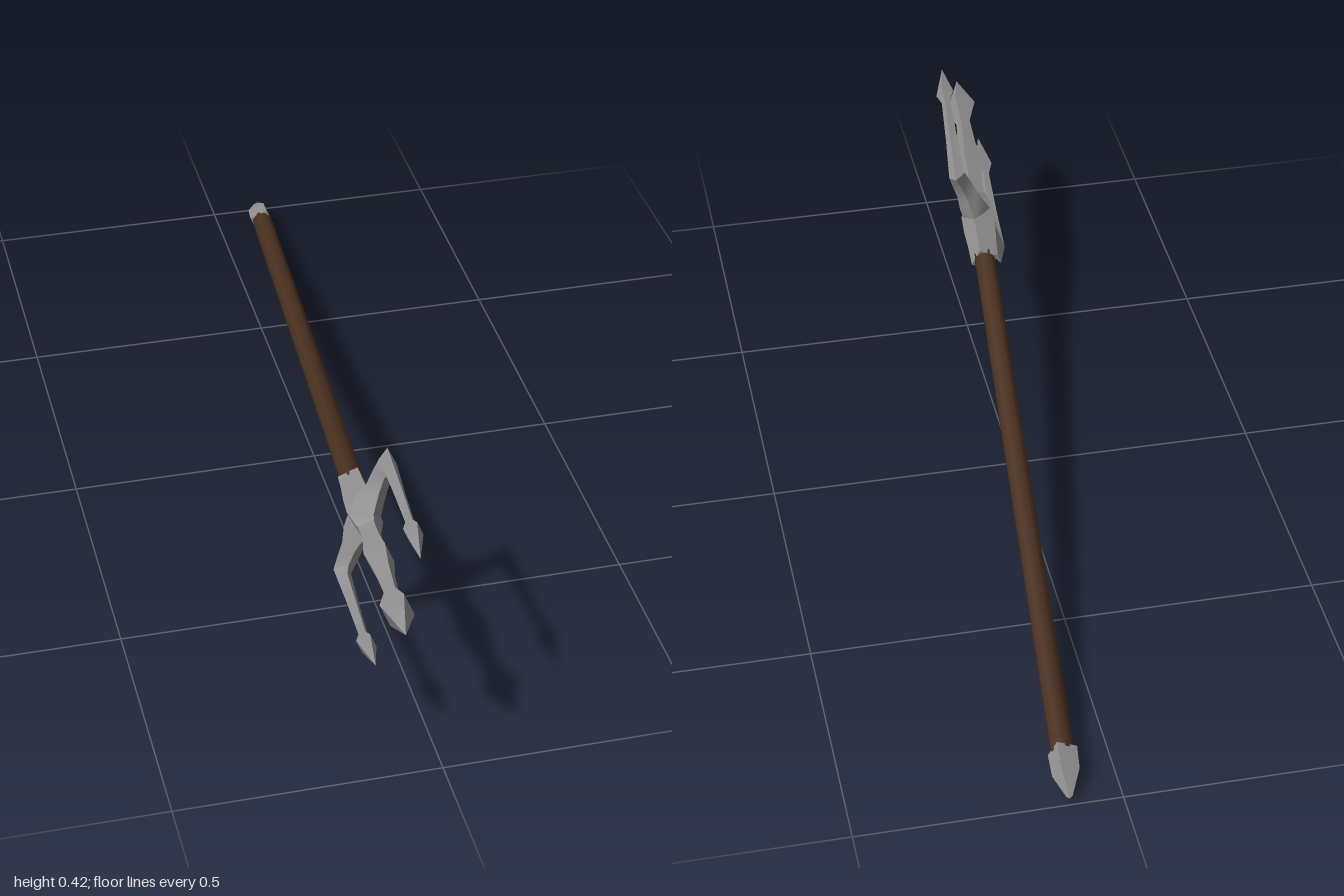
import * as THREE from 'three';
import { toCreasedNormals } from 'three/addons/utils/BufferGeometryUtils.js';

const CREASE = 0.8;

// Four-sided spindle along local z from [z, radius] pairs, corners on x and y
function spindle(points) {
  const geo = new THREE.LatheGeometry(points.map(([z, r]) => new THREE.Vector2(r, z)), 4);
  geo.rotateX(Math.PI / 2);
  return toCreasedNormals(geo, CREASE);
}

// Diamond-section loft in the y/z plane: each section is
// [outer z, outer y, inner z, inner y, half thickness in x]
function diamondLoft(sections) {
  const rings = sections.map(([oz, oy, iz, iy, t]) => {
    const my = (oy + iy) / 2, mz = (oz + iz) / 2;
    return [[0, oy, oz], [-t, my, mz], [0, iy, iz], [t, my, mz]];
  });
  const pos = [];
  for (let i = 0; i < rings.length - 1; i++) {
    for (let j = 0; j < 4; j++) {
      const k = (j + 1) % 4;
      const a = rings[i][j], b = rings[i][k], c = rings[i + 1][k], d = rings[i + 1][j];
      pos.push(...a, ...b, ...c, ...a, ...c, ...d);
    }
  }
  const geo = new THREE.BufferGeometry();
  geo.setAttribute('position', new THREE.Float32BufferAttribute(pos, 3));
  return toCreasedNormals(geo, CREASE);
}

export function createModel() {
  const metal = new THREE.MeshStandardMaterial({ color: 0x909090 });
  metal.name = 'grey metal';
  const wood = new THREE.MeshStandardMaterial({ color: 0x4a3020 });
  wood.name = 'dark wood';

  const trident = new THREE.Group();
  trident.name = 'trident';
  const add = (name, geo, mat) => {
    const mesh = new THREE.Mesh(geo, mat);
    mesh.name = name;
    trident.add(mesh);
    return mesh;
  };

  // Wooden pole
  const pole = new THREE.CylinderGeometry(0.0225, 0.0225, 1.34, 8);
  pole.rotateX(Math.PI / 2).translate(0, 0, -0.24);
  add('shaft', toCreasedNormals(pole, CREASE), wood);

  // Pointed cap at the tail end
  add('buttCap', spindle([
    [-1.015, 0], [-1.01, 0.006], [-0.955, 0.027], [-0.905, 0.029], [-0.9, 0],
  ]), metal);

  // Socket and hub
  add('socket', spindle([
    [0.416, 0], [0.418, 0.03], [0.47, 0.032], [0.52, 0.036], [0.57, 0.037], [0.62, 0.025], [0.64, 0],
  ]), metal);

  // Middle prong with a swelling and a spear head
  add('middleProng', spindle([
    [0.58, 0.024], [0.65, 0.022], [0.69, 0.025], [0.73, 0.031], [0.79, 0.021],
    [0.87, 0.016], [0.925, 0.034], [1.015, 0],
  ]), metal);

  // Side prongs: curved arm, sharp elbow, straight tine and head
  const sideProng = diamondLoft([
    [0.505, 0, 0.625, 0, 0.032],
    [0.512, 0.034, 0.606, 0.036, 0.028],
    [0.543, 0.061, 0.592, 0.066, 0.022],
    [0.549, 0.1, 0.588, 0.095, 0.02],
    [0.537, 0.135, 0.6, 0.108, 0.018],
    [0.69, 0.132, 0.69, 0.109, 0.013],
    [0.815, 0.129, 0.815, 0.11, 0.01],
    [0.845, 0.139, 0.845, 0.099, 0.02],
    [0.935, 0.112, 0.935, 0.112, 0],
  ]);
  add('upperProng', sideProng, metal);
  add('lowerProng', sideProng, metal).rotation.z = Math.PI;

  // Tilt the weapon: z along the pole, y across the fork
  const along = new THREE.Vector3(-0.0875, 0.1525, 1).normalize();
  const across = new THREE.Vector3(0.381, 0.919, -0.107).normalize();
  const side = new THREE.Vector3().crossVectors(across, along).normalize();
  across.crossVectors(along, side);
  trident.quaternion.setFromRotationMatrix(new THREE.Matrix4().makeBasis(side, across, along));
  trident.position.set(0.0125, 0.172, 0);

  const model = new THREE.Group();
  model.name = 'model';
  model.add(trident);
  return model;
}
